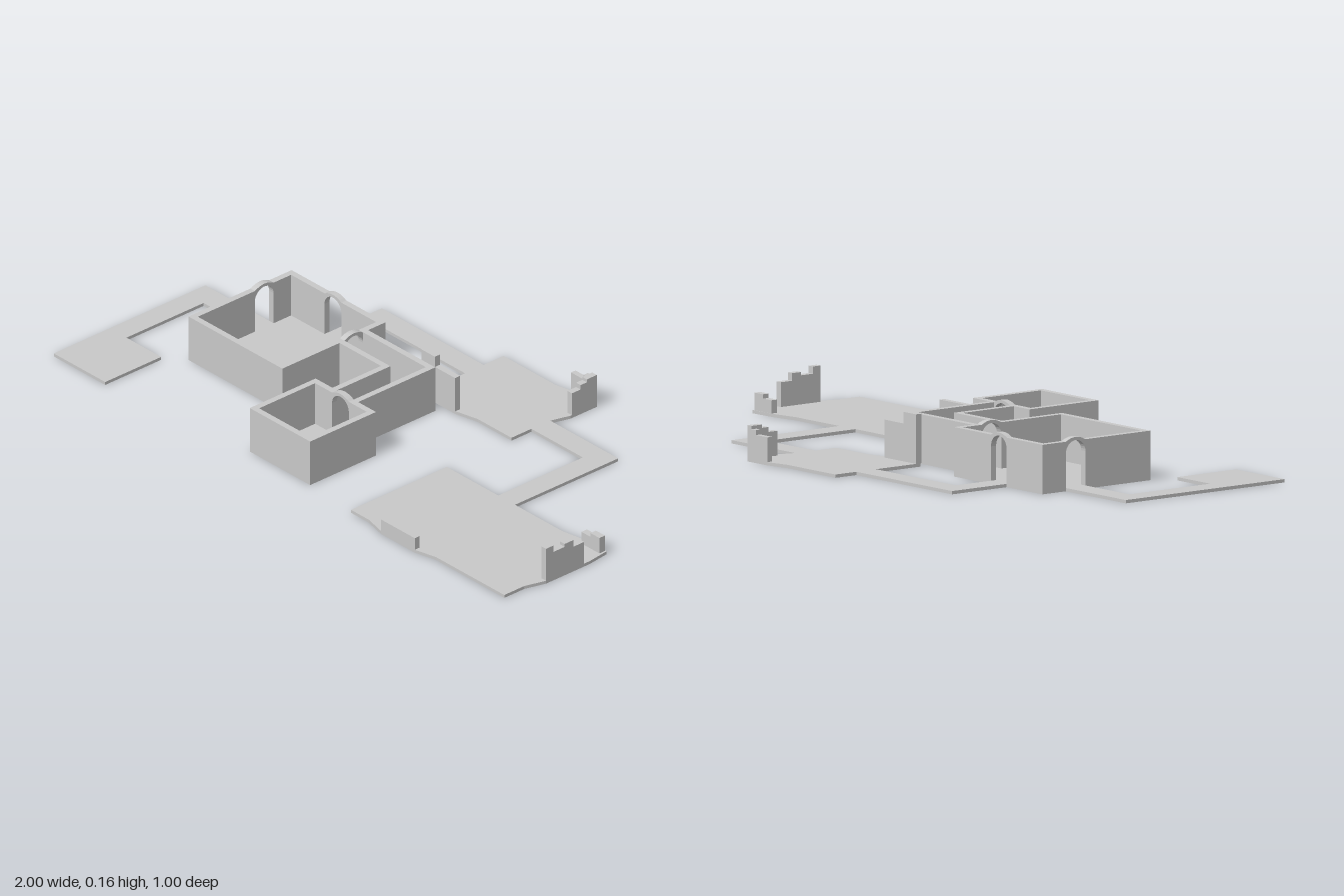
import * as THREE from 'three';

const FLOOR = 0.01, TOP = 0.15, T = 0.02, DOOR = 0.075;

export function createModel() {
  const model = new THREE.Group();
  const stone = new THREE.MeshStandardMaterial({ color: 0xc8c8c8 });
  stone.name = 'greyStone';

  const add = (name, geometry) => {
    const mesh = new THREE.Mesh(geometry, stone);
    mesh.name = name;
    model.add(mesh);
    return mesh;
  };

  // Box given by its limits
  const block = (name, x0, x1, z0, z1, y0, y1) =>
    add(name, new THREE.BoxGeometry(x1 - x0, y1 - y0, z1 - z0))
      .position.set((x0 + x1) / 2, (y0 + y1) / 2, (z0 + z1) / 2);
  const floor = (name, x0, x1, z0, z1) => block(name, x0, x1, z0, z1, 0, FLOOR);
  const wall = (name, x0, x1, z0, z1, h = TOP) => block(name, x0, x1, z0, z1, FLOOR, h);

  // Flat slab from plan corners [x, z], for the tapered footings
  const footing = (name, points) => {
    const shape = new THREE.Shape(points.map(([x, z]) => new THREE.Vector2(x, -z)));
    const g = new THREE.ExtrudeGeometry(shape, { depth: FLOOR, bevelEnabled: false });
    add(name, g.rotateX(-Math.PI / 2));
  };

  // Wall from a to b with an arched doorway centred on c; the top bulges over the arch
  const doorWall = (name, a, b, c, alongX, offset) => {
    const r = DOOR / 2, spring = 0.114;
    const s = new THREE.Shape();
    s.moveTo(a, FLOOR);
    s.lineTo(c - r, FLOOR);
    s.lineTo(c - r, spring);
    s.absarc(c, spring, r, Math.PI, 0, true);
    s.lineTo(c + r, FLOOR);
    s.lineTo(b, FLOOR);
    s.lineTo(b, TOP);
    s.lineTo(c + r, TOP);
    s.quadraticCurveTo(c, TOP + 0.022, c - r, TOP);
    s.lineTo(a, TOP);
    const g = new THREE.ExtrudeGeometry(s, { depth: T, bevelEnabled: false, curveSegments: 8 });
    const mesh = add(name, g);
    if (alongX) mesh.position.z = offset;
    else {
      // shape x runs along +z, thickness runs along -x
      mesh.rotation.y = -Math.PI / 2;
      mesh.position.x = offset + T;
    }
  };

  // Large walled room with three doorways
  floor('largeRoomFloor', -0.715, -0.295, -0.2, 0.215);
  doorWall('largeRoomBackWall', -0.715, -0.295, -0.508, true, -0.2);
  wall('largeRoomFrontWall', -0.715, -0.295, 0.195, 0.215);
  doorWall('largeRoomRightWall', -0.18, 0.195, -0.072, false, -0.715);
  doorWall('largeRoomLeftWall', -0.18, 0.195, -0.072, false, -0.315);

  // Small walled room with one doorway
  floor('smallRoomFloor', -0.185, 0.085, 0.18, 0.445);
  doorWall('smallRoomBackWall', -0.185, 0.085, -0.052, true, 0.18);
  wall('smallRoomFrontWall', -0.185, 0.085, 0.425, 0.445);
  wall('smallRoomRightWall', -0.185, -0.165, 0.2, 0.425);
  wall('smallRoomLeftWall', 0.065, 0.085, 0.2, 0.425);

  // Walled corridor joining the two rooms
  floor('corridorFloor', -0.295, 0.005, -0.13, -0.015);
  floor('corridorBendFloor', -0.11, 0.005, -0.015, 0.18);
  wall('corridorBackWall', -0.295, 0.005, -0.13, -0.11);
  wall('corridorLeftWall', -0.015, 0.005, -0.11, 0.18);
  wall('corridorInnerWall', -0.295, -0.09, -0.035, -0.015);
  wall('corridorRightWall', -0.11, -0.09, -0.015, 0.18);

  // Open path to the small pad
  floor('padPath', -1, -0.715, -0.11, -0.035);
  floor('padPathBend', -1, -0.925, -0.035, 0.275);
  floor('pad', -1, -0.77, 0.275, 0.5);

  // Open path to the back platform and on to the large platform
  floor('backPath', -0.545, -0.47, -0.335, -0.2);
  floor('backPathBend', -0.545, -0.09, -0.41, -0.335);
  floor('backPlatform', -0.09, 0.29, -0.49, -0.18);
  floor('linkPath', 0.29, 0.595, -0.335, -0.26);
  floor('linkPathBend', 0.52, 0.595, -0.26, 0.08);
  floor('largePlatform', 0.29, 0.975, 0.08, 0.465);

  // Tapered footings under the ruined walls
  footing('backPlatformBackFooting', [[0.14, -0.49], [0.29, -0.49], [0.29, -0.505], [0.215, -0.505]]);
  footing('backPlatformSideFooting', [[0.29, -0.505], [0.29, -0.33], [0.31, -0.4], [0.31, -0.505]]);
  footing('backPlatformFrontFooting', [[-0.09, -0.18], [-0.09, -0.162], [0.06, -0.162], [0.14, -0.18]]);
  footing('largePlatformBackFooting', [[0.805, 0.08], [0.975, 0.08], [0.975, 0.062], [0.89, 0.065]]);
  footing('largePlatformSideFooting', [[0.975, 0.062], [0.975, 0.385], [0.995, 0.315], [0.995, 0.14], [0.985, 0.062]]);
  footing('largePlatformFrontFooting', [[0.37, 0.465], [0.445, 0.483], [0.595, 0.483], [0.67, 0.465]]);

  // Stepped ruined walls; each step is [start, end, height]
  const ruin = (name, alongX, lo, hi, steps) => steps.forEach(([a, b, h]) =>
    alongX ? wall(name, a, b, lo, hi, h) : wall(name, lo, hi, a, b, h));
  ruin('backPlatformBackRuin', true, -0.505, -0.487,
    [[0.215, 0.27, 0.085], [0.27, 0.29, 0.1]]);
  ruin('backPlatformSideRuin', false, 0.29, 0.31,
    [[-0.505, -0.465, 0.11], [-0.465, -0.44, 0.1], [-0.44, -0.405, 0.085]]);
  ruin('backPlatformFrontRuin', true, -0.18, -0.16,
    [[-0.09, -0.03, 0.16], [-0.03, 0.06, 0.125]]);
  ruin('largePlatformBackRuin', true, 0.065, 0.087,
    [[0.9, 0.94, 0.05], [0.94, 0.98, 0.063]]);
  ruin('largePlatformSideRuin', false, 0.975, 0.995,
    [[0.162, 0.205, 0.085], [0.205, 0.24, 0.108], [0.24, 0.285, 0.098], [0.285, 0.315, 0.12]]);
  ruin('largePlatformFrontRuin', true, 0.465, 0.483, [[0.445, 0.595, 0.05]]);

  return model;
}
